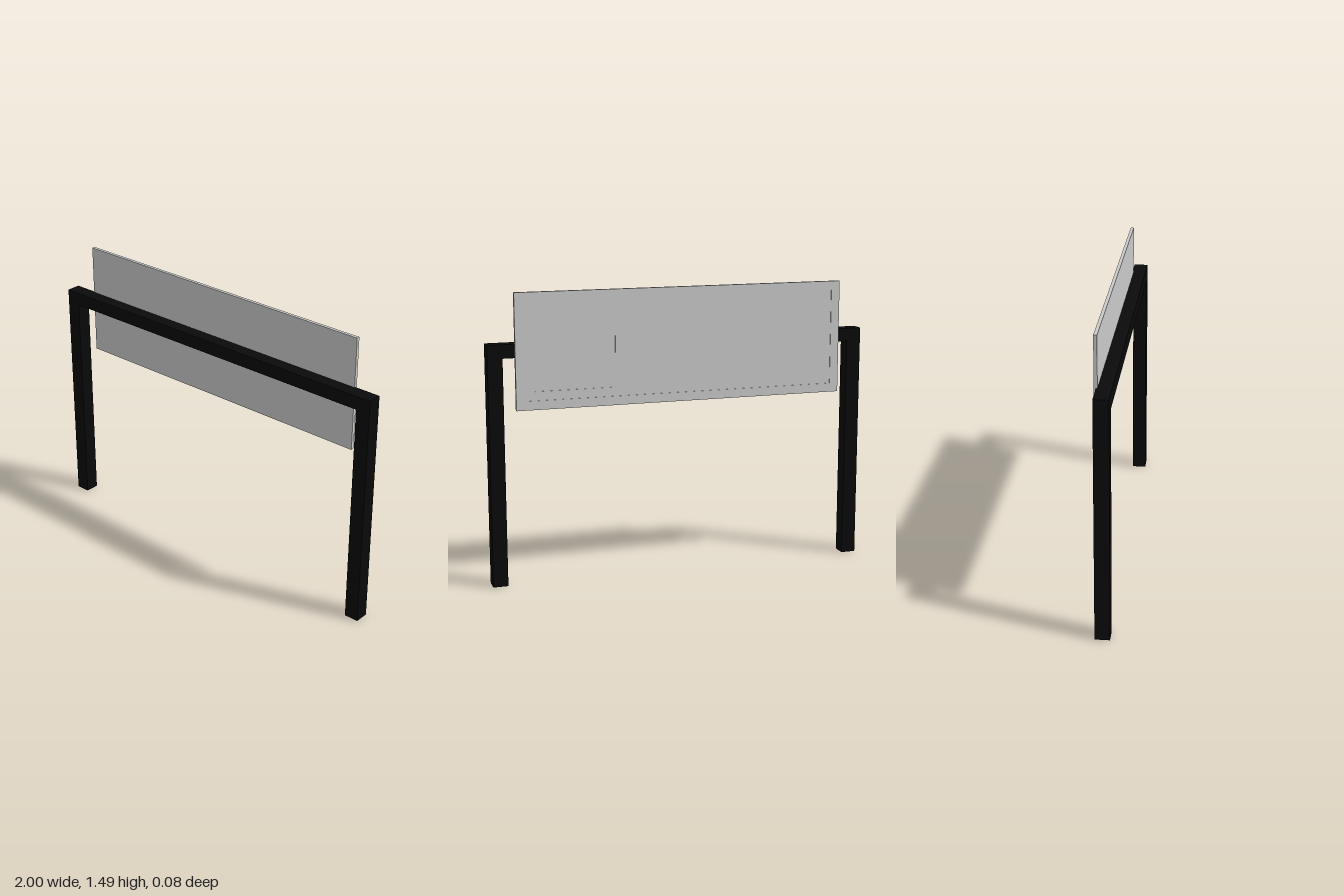
import * as THREE from 'three';

const black = new THREE.MeshStandardMaterial({ color: 0x0a0a0a });
const grey = new THREE.MeshStandardMaterial({ color: 0xcccccc });

// Box given by its extents on each axis
function box(name, material, [x0, x1], [y0, y1], [z0, z1]) {
  const mesh = new THREE.Mesh(new THREE.BoxGeometry(x1 - x0, y1 - y0, z1 - z0), material);
  mesh.position.set((x0 + x1) / 2, (y0 + y1) / 2, (z0 + z1) / 2);
  mesh.name = name;
  return mesh;
}

function trace(path, [x0, x1], [y0, y1]) {
  path.moveTo(x0, y0);
  path.lineTo(x1, y0);
  path.lineTo(x1, y1);
  path.lineTo(x0, y1);
  path.closePath();
  return path;
}

// Flat sheet with a rectangular opening
function sheet(name, outerX, outerY, holeX, holeY, z0, z1) {
  const shape = trace(new THREE.Shape(), outerX, outerY);
  shape.holes.push(trace(new THREE.Path(), holeX, holeY));
  const geometry = new THREE.ExtrudeGeometry(shape, { depth: z1 - z0, bevelEnabled: false });
  const mesh = new THREE.Mesh(geometry, grey);
  mesh.position.z = z0;
  mesh.name = name;
  return mesh;
}

export function createModel() {
  const model = new THREE.Group();
  model.name = 'signStand';

  // Square-section portal frame: two posts and a crossbar
  const frame = new THREE.Group();
  frame.name = 'frame';
  const depth = [-0.032, 0.042], top = 1.233, post = 0.076;
  frame.add(
    box('rightPost', black, [-1, -1 + post], [0, top], depth),
    box('leftPost', black, [1 - post, 1], [0, top], depth),
    box('crossbar', black, [-1 + post, 1 - post], [1.164, top], depth)
  );

  // Board behind the crossbar, its back stepped inward twice
  const board = new THREE.Group();
  board.name = 'board';
  const x = [-0.87, 0.863], y = [0.9, 1.487], rim = 0.046;
  const innerX = [x[0] + rim, x[1] - rim], innerY = [y[0] + rim, y[1] - rim];
  board.add(
    box('boardPlate', grey, x, y, [-0.036, -0.025]),
    sheet('recessedPanel', x, y, [0.352, 0.767], [0.992, 1.394], -0.039, -0.036),
    sheet('boardRim', x, y, innerX, innerY, -0.042, -0.039)
  );

  model.add(frame, board);
  return model;
}
